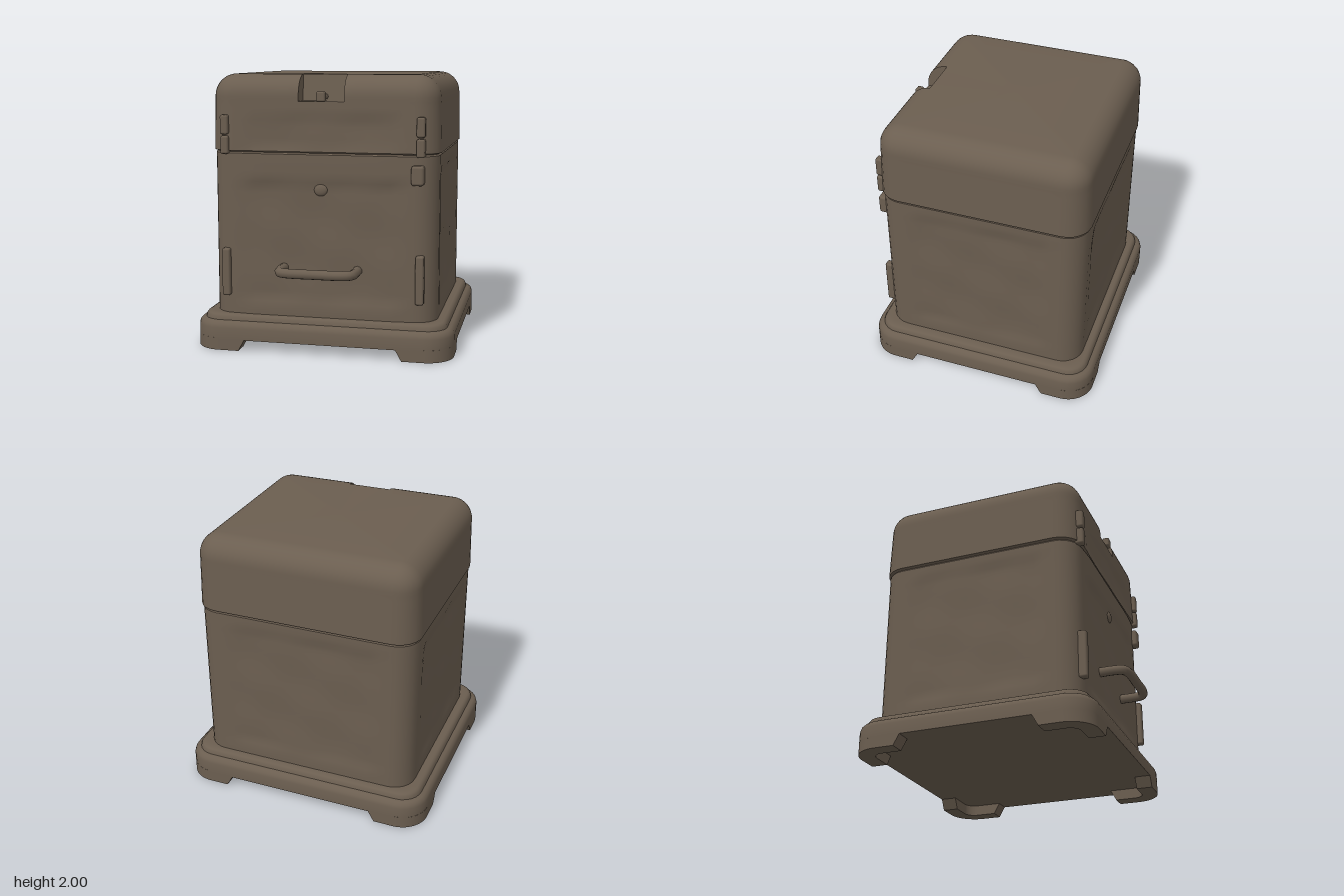
import * as THREE from 'three';
import { toCreasedNormals } from 'three/addons/utils/BufferGeometryUtils.js';
import { RoundedBoxGeometry } from 'three/addons/geometries/RoundedBoxGeometry.js';

const HX = 0.835, HZ = 0.775, R = 0.175;   // cabinet half sizes and corner radius
const TICKS = 16, ARC = 6;
const smooth = THREE.MathUtils.smoothstep;

// Stack of rounded-rectangle rings, rows = [y, inset]; capped at both ends.
function shell(hx, hz, r, rows, dent = () => 0, skip = () => false) {
  const pos = [], idx = [], n = 4 * (TICKS + ARC);
  for (const [y, inset] of rows) {
    for (let s = 0; s < 4; s++) {
      const a = s * Math.PI / 2, sin = Math.sin(a), cos = Math.cos(a);
      const L = (s % 2 ? hz : hx) - r, H = s % 2 ? hx : hz;
      const put = (t, d) => pos.push(t * cos + d * sin, y, -t * sin + d * cos);
      for (let i = 0; i <= TICKS; i++) {
        const t = -L + 2 * L * i / TICKS;
        put(t, H - inset - dent(s, t, y, L));
      }
      for (let i = 1; i < ARC; i++) {
        const q = i / ARC * Math.PI / 2;
        put(L + (r - inset) * Math.sin(q), H - r + (r - inset) * Math.cos(q));
      }
    }
  }
  for (let k = 0; k < rows.length - 1; k++) {
    for (let j = 0; j < n; j++) {
      if (skip(j, rows[k][0])) continue;
      const a = k * n + j, b = k * n + (j + 1) % n;
      idx.push(a, b, b + n, a, b + n, a + n);
    }
  }
  const c = pos.length / 3, top = (rows.length - 1) * n;
  pos.push(0, rows[0][0], 0, 0, rows[rows.length - 1][0], 0);
  for (let j = 0; j < n; j++) {
    const q = (j + 1) % n;
    idx.push(c, q, j, c + 1, top + j, top + q);
  }
  const g = new THREE.BufferGeometry();
  g.setAttribute('position', new THREE.Float32BufferAttribute(pos, 3));
  g.setIndex(idx);
  return toCreasedNormals(g, 0.6);
}

// Shallow sunken panel with soft edges and a hammered surface.
function panel(t, y, half, y0, y1, depth) {
  const m = smooth(half - Math.abs(t), 0, 0.1) * smooth(y, y0, y0 + 0.09) * (1 - smooth(y, y1 - 0.09, y1));
  return m * (depth + 0.005 * Math.sin(9 * t + 5 * y) * Math.sin(11 * y - 4 * t));
}

function wallDent(s, t, y, L) {
  if (s) return panel(t, y, L - 0.05, 0.32, 1.38, 0.012);
  return panel(t, y, 0.62, 0.32, 1.28, 0.016) + panel(t, y, 0.58, 1.42, 1.74, 0.012)
    - (y < 1.45 ? 0.012 * (1 - smooth(Math.abs(t), 0.5, L)) : 0);
}

export function createModel() {
  const iron = new THREE.MeshStandardMaterial({ color: 0x6b5e50, side: THREE.DoubleSide });
  iron.name = 'dull brown iron';
  const model = new THREE.Group();
  model.name = 'ironBox';
  const turned = new THREE.Group();
  turned.name = 'cabinet';
  turned.rotation.y = 0.035;
  turned.position.z = -0.042;
  model.add(turned);
  const add = (name, geometry, x = 0, y = 0, z = 0) => {
    const mesh = new THREE.Mesh(geometry, iron);
    mesh.name = name;
    mesh.position.set(x, y, z);
    turned.add(mesh);
    return mesh;
  };

  // Plinth with a rounded, stepped upper edge
  add('plinth', shell(0.95, 0.875, 0.2, [
    [0.08, 0], [0.165, 0], [0.19, 0.008], [0.207, 0.025], [0.213, 0.05],
    [0.235, 0.055], [0.25, 0.065], [0.257, 0.08], [0.257, 0.12],
  ]));

  // Corner feet: curved L-shaped walls with splayed ends
  const len = 0.35, thick = 0.12, r = 0.2;
  for (const sx of [-1, 1]) for (const sz of [-1, 1]) {
    const s = new THREE.Shape();
    s.moveTo(-len, 0).lineTo(-r, 0);
    s.absarc(-r, -r, r, Math.PI / 2, 0, true);
    s.lineTo(0, -len).lineTo(-thick, -len).lineTo(-thick, -r);
    s.absarc(-r, -r, r - thick, 0, Math.PI / 2, false);
    s.lineTo(-len, -thick).closePath();
    const g = new THREE.ExtrudeGeometry(s, { depth: 0.09, bevelEnabled: false, curveSegments: 8 });
    const p = g.attributes.position;
    for (let i = 0; i < p.count; i++) {
      const x = p.getX(i), z = p.getY(i), y = p.getZ(i);
      const splay = y > 0.05 ? 0.05 : 0;
      p.setXYZ(i, sx * (x < -len + 0.01 ? x - splay : x), y, sz * (z < -len + 0.01 ? z - splay : z));
    }
    // Mirroring flips the corner order on two of the feet
    if (sx * sz > 0) for (let i = 0; i < p.count; i += 3) {
      const a = new THREE.Vector3().fromBufferAttribute(p, i);
      p.setXYZ(i, p.getX(i + 1), p.getY(i + 1), p.getZ(i + 1));
      p.setXYZ(i + 1, a.x, a.y, a.z);
    }
    g.computeVertexNormals();
    add('foot', toCreasedNormals(g, 0.6), sx * 0.95, 0, sz * 0.875);
  }

  // Cabinet walls
  const walls = [];
  for (let i = 0; i <= 30; i++) walls.push([0.24 + 1.195 * i / 30, 0.012]);
  walls.push([1.45, 0.024]);
  add('body', shell(HX, HZ, R, walls, wallDent));

  // Lid with rounded top; the latch pocket is left open at the front
  const floorY = 1.81, lid = [[1.445, 0.022], [1.455, 0]];
  for (let i = 1; i <= 8; i++) lid.push([1.455 + (floorY - 1.455) * i / 8, 0.01 * i / 8]);
  lid[lid.length - 1][0] = floorY;
  for (let i = 0; i <= 8; i++) {
    const q = i / 8 * Math.PI / 2;
    lid.push([1.84 + 0.16 * Math.sin(q), 0.01 + 0.16 * (1 - Math.cos(q))]);
  }
  add('lid', shell(HX, HZ, R, lid, wallDent, (j, y) => y >= floorY && j >= 6 && j < 10));

  // Latch pocket
  const half = (HX - R) / 4, backZ = HZ - 0.17;
  const cheek = new THREE.Shape();
  cheek.moveTo(backZ, floorY);
  for (const [y, inset] of lid) if (y >= floorY) cheek.lineTo(HZ - inset, y);
  const cheekGeometry = new THREE.ShapeGeometry(cheek).rotateY(-Math.PI / 2);
  for (const s of [-1, 1]) add('pocketCheek', cheekGeometry, s * half);
  add('pocketFloor', new THREE.BoxGeometry(2 * half, 0.02, 0.16), 0, floorY - 0.01, backZ + 0.08);
  const back = add('pocketBack', new THREE.BoxGeometry(2 * half, 0.2, 0.02), 0, 1.899, backZ + 0.007);
  back.rotation.x = -0.15;
  add('latchStem', new THREE.CylinderGeometry(0.022, 0.022, 0.13, 8).rotateX(Math.PI / 2), 0, 1.84, 0.695);
  add('latchKnob', new RoundedBoxGeometry(0.065, 0.07, 0.05, 2, 0.012), 0, 1.845, 0.765);

  // Hinges and door catches
  const hinge = (x, y0, y1) =>
    add('hinge', new RoundedBoxGeometry(0.06, y1 - y0, 0.1, 2, 0.015), x, (y0 + y1) / 2, HZ - 0.025);
  for (const s of [-1, 1]) {
    hinge(s * 0.71, 0.39, 0.74);
    hinge(s * 0.71, 1.43, 1.56);
    hinge(s * 0.71, 1.57, 1.71);
  }
  add('doorCatch', new RoundedBoxGeometry(0.09, 0.14, 0.1, 2, 0.02), 0.69, 1.305, HZ - 0.02);

  // Lock knob
  const knob = new THREE.SphereGeometry(0.05, 16, 10).scale(1, 0.9, 0.4);
  add('lockKnob', knob, -0.005, 1.185, HZ - 0.018);

  // Drawer handle
  const path = new THREE.CatmullRomCurve3([
    [-0.27, 0.73], [-0.27, 0.86], [-0.255, 0.92], [-0.2, 0.945], [0, 0.95],
    [0.2, 0.945], [0.255, 0.92], [0.27, 0.86], [0.27, 0.73],
  ].map(([x, z]) => new THREE.Vector3(x, 0.61, z)));
  add('handle', new THREE.TubeGeometry(path, 48, 0.035, 10), -0.01);
  return model;
}
